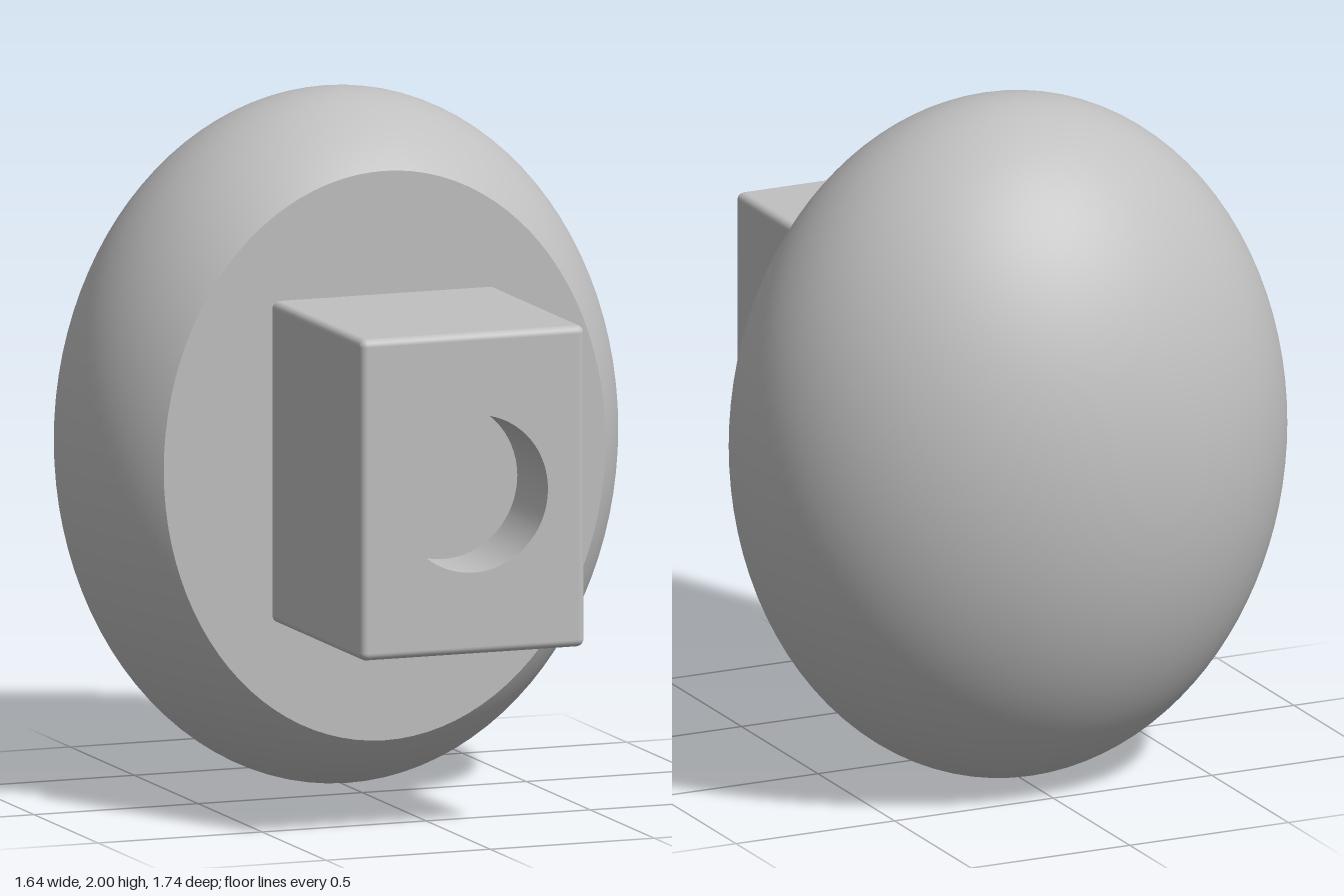
import * as THREE from 'three';

const CUT_Z = 0.175;   // flat face of the knob
const FRONT_Z = 0.87;  // front of the stem
const FILLET = 0.022;

// Outline of a rounded rectangle: corner centres plus outward directions
function roundedOutline(halfW, halfH, r, steps) {
  const points = [];
  [[1, 1], [-1, 1], [-1, -1], [1, -1]].forEach(([sx, sy], corner) => {
    for (let i = 0; i <= steps; i++) {
      const a = (corner + i / steps) * Math.PI / 2;
      points.push({ cx: sx * (halfW - r), cy: sy * (halfH - r), dx: Math.cos(a), dy: Math.sin(a) });
    }
  });
  return points;
}

// Stem walls with rounded long edges, rolling over into the front face
function stemWalls(halfW, halfH, r) {
  const outline = roundedOutline(halfW, halfH, r, 8);
  const rows = [{ z: CUT_Z, a: 0 }];
  for (let i = 0; i <= 8; i++) {
    const a = i / 8 * Math.PI / 2;
    rows.push({ z: FRONT_Z - r + r * Math.sin(a), a });
  }
  const position = [], normal = [], index = [], n = outline.length;
  for (const { z, a } of rows) {
    const c = Math.cos(a), s = Math.sin(a);
    for (const p of outline) {
      position.push(p.cx + p.dx * r * c, p.cy + p.dy * r * c, z);
      normal.push(p.dx * c, p.dy * c, s);
    }
  }
  for (let j = 0; j < rows.length - 1; j++) {
    for (let i = 0; i < n; i++) {
      const a = j * n + i, b = j * n + (i + 1) % n;
      index.push(a, b, b + n, a, b + n, a + n);
    }
  }
  const geometry = new THREE.BufferGeometry();
  geometry.setAttribute('position', new THREE.Float32BufferAttribute(position, 3));
  geometry.setAttribute('normal', new THREE.Float32BufferAttribute(normal, 3));
  geometry.setIndex(index);
  return geometry;
}

export function createModel() {
  const model = new THREE.Group();
  model.name = 'knob';
  const grey = new THREE.MeshStandardMaterial({ color: 0xc0c0c0 });
  grey.name = 'grey';
  const add = (name, geometry, parent) => {
    const mesh = new THREE.Mesh(geometry, grey);
    mesh.name = name;
    parent.add(mesh);
  };

  // Egg-shaped head, sliced flat at the front
  const rx = 0.82, ry = 1, rz = 0.665, headZ = -0.205;
  const theta = Math.acos(-(CUT_Z - headZ) / rz);
  const dome = new THREE.SphereGeometry(1, 96, 64, 0, Math.PI * 2, 0, theta);
  dome.rotateX(-Math.PI / 2).scale(rx, ry, rz).translate(0, 1, headZ);
  add('headDome', dome, model);
  const rim = Math.sin(theta);
  const face = new THREE.CircleGeometry(1, 96);
  face.scale(rx * rim, ry * rim, 1).translate(0, 1, CUT_Z);
  add('headFace', face, model);

  // Rectangular stem with a blind round hole
  const stem = new THREE.Group();
  stem.name = 'stem';
  stem.position.y = 1.003;
  model.add(stem);
  const halfW = 0.342, halfH = 0.463, holeR = 0.227, holeDepth = 0.24;
  add('stemWalls', stemWalls(halfW, halfH, FILLET), stem);

  const w = halfW - FILLET, h = halfH - FILLET;
  const front = new THREE.Shape([[-w, -h], [w, -h], [w, h], [-w, h]].map(([x, y]) => new THREE.Vector2(x, y)));
  front.holes.push(new THREE.Path().absarc(0, 0, holeR, 0, Math.PI * 2, true));
  add('stemFront', new THREE.ShapeGeometry(front, 64).translate(0, 0, FRONT_Z), stem);

  // Inward-facing hole wall, lathed so its faces point to the axis
  const wall = new THREE.LatheGeometry(
    [new THREE.Vector2(holeR, 0), new THREE.Vector2(holeR, -holeDepth)], 64);
  wall.rotateX(Math.PI / 2).translate(0, 0, FRONT_Z);
  add('holeWall', wall, stem);
  add('holeFloor', new THREE.CircleGeometry(holeR, 64).translate(0, 0, FRONT_Z - holeDepth), stem);

  return model;
}
